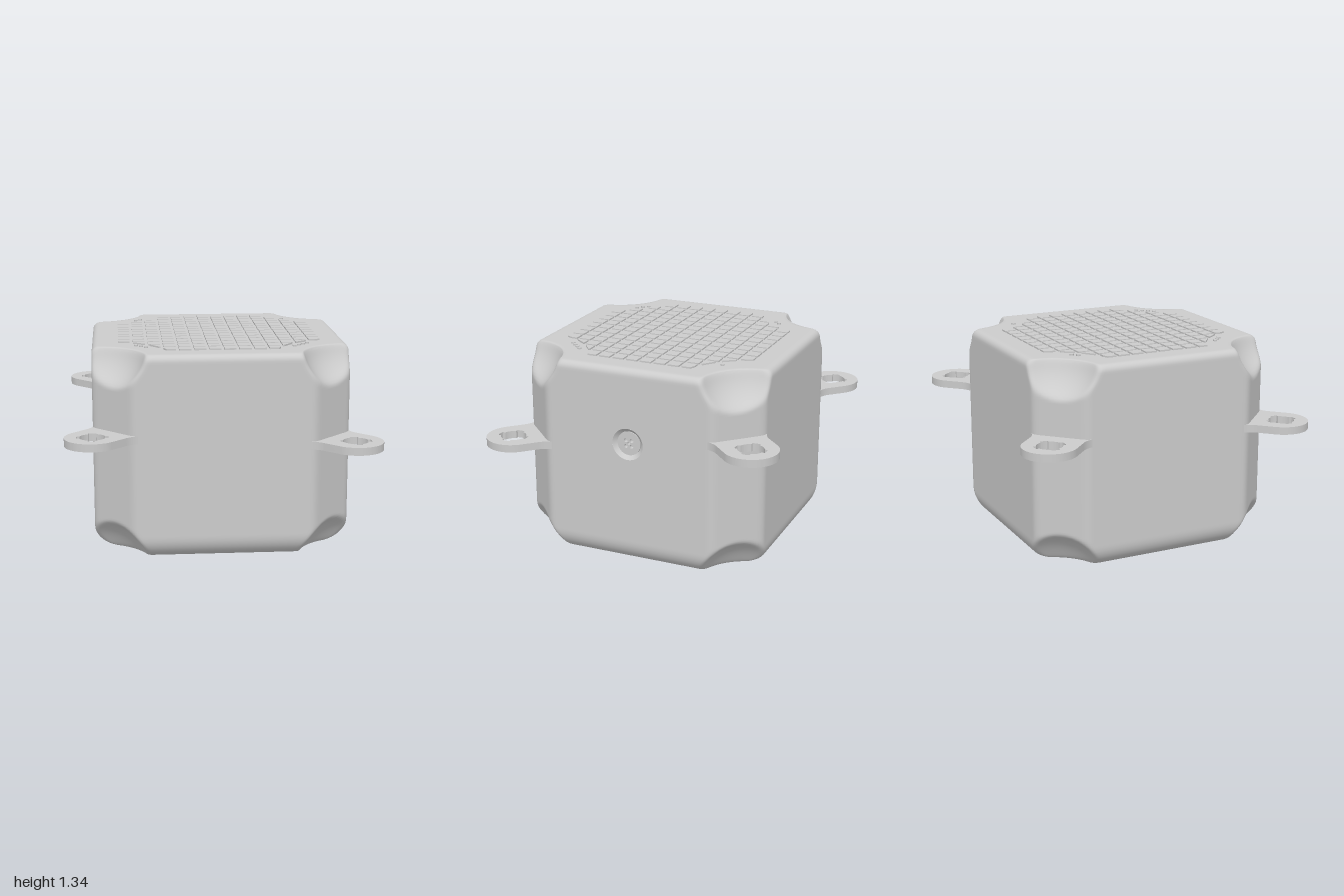
import * as THREE from 'three';
import { toCreasedNormals, mergeGeometries } from 'three/addons/utils/BufferGeometryUtils.js';

const W = 0.825, H = 1.325;          // body half width and height
const CHAMFER = 0.18;                // depth of the vertical corner chamfers
const FACE_LOW = 0.68, FACE_HIGH = 0.98; // band of the side face holding the fastener
const mat = new THREE.MeshStandardMaterial({ color: 0xcccccc });
const matDouble = new THREE.MeshStandardMaterial({ color: 0xcccccc, side: THREE.DoubleSide });

function mesh(name, geometry, material = mat) {
  const m = new THREE.Mesh(geometry, material);
  m.name = name;
  return m;
}

const round = (R, d) => (d >= R ? 0 : R - Math.sqrt(R * R - (R - d) ** 2));
const inset = (y) => Math.max(round(0.15, y), round(0.045, H - y));

// One quarter of the body outline at height y: chamfer or spherical scoop, with softened ends
function cornerCurve(y) {
  const e = inset(y);
  const d = Math.min(y, H - y) + 0.078;
  const scoop = Math.sqrt(Math.max(0, 0.344 ** 2 - d * d)) + e * 0.2;
  const radius = (a) => {
    const flat = CHAMFER / Math.cos(a - Math.PI / 4), k = 0.03;
    const m = Math.max(k - Math.abs(flat - scoop), 0) / k;
    return Math.max(flat, scoop) + m * m * k / 4;
  };
  let a0 = 0;
  for (let i = 0; i < 12; i++) a0 = Math.asin(e / radius(a0));
  const N = 24, p = [];
  for (let i = 0; i <= N; i++) {
    const a = a0 + (Math.PI / 2 - 2 * a0) * i / N, r = radius(a);
    p.push(new THREE.Vector2(W - r * Math.cos(a), W - r * Math.sin(a)));
  }
  const start = p[0].clone().setX(p[0].x - 0.03);
  const soft = new THREE.QuadraticBezierCurve(start, p[0], p[2]).getPoints(4);
  const head = [start.clone().setX(start.x - 0.02), ...soft];
  const tail = head.map((v) => new THREE.Vector2(v.y, v.x)).reverse();
  return [...head, ...p.slice(3, N - 2), ...tail];
}

// Body lofted from horizontal loops, leaving a window on the left face
function bodyGeometry() {
  const rows = [[0, 0.95]];
  for (let i = 0; i <= 10; i++) rows.push([0.15 * (1 - Math.cos(i / 10 * Math.PI / 2)), 1]);
  for (let i = 1; i <= 9; i++) rows.push([0.15 + 0.014 * i, 1]);
  rows.push([FACE_LOW, 1], [FACE_HIGH, 1]);
  for (let i = 0; i <= 15; i++) rows.push([1.05 + 0.23 * i / 15, 1]);
  for (let i = 1; i <= 6; i++) rows.push([1.28 + 0.045 * Math.sin(i / 6 * Math.PI / 2), 1]);
  rows.push([H, 0.97]);

  const pos = [], index = [];
  let n = 0;
  for (const [y, s] of rows) {
    const quarter = cornerCurve(y);
    n = quarter.length;
    for (let q = 0; q < 4; q++) {
      const c = Math.round(Math.cos(q * Math.PI / 2)), t = Math.round(Math.sin(q * Math.PI / 2));
      for (const v of quarter) pos.push((v.x * c + v.y * t) * s, y, (v.y * c - v.x * t) * s);
    }
  }
  const L = 4 * n, last = rows.length - 1;
  for (let i = 0; i < last; i++) for (let j = 0; j < L; j++) {
    if (rows[i][0] === FACE_LOW && j === n - 1) continue;
    const a = i * L + j, b = i * L + (j + 1) % L;
    index.push(a, b, b + L, a, b + L, a + L);
  }
  const bottom = pos.length / 3;
  pos.push(0, 0, 0, 0, H, 0);
  for (let j = 0; j < L; j++) {
    const k = (j + 1) % L;
    index.push(bottom, k, j, bottom + 1, last * L + j, last * L + k);
  }
  const g = new THREE.BufferGeometry();
  g.setAttribute('position', new THREE.Float32BufferAttribute(pos, 3));
  g.setIndex(index);
  return toCreasedNormals(g, 0.6);
}

// Face panel that fills the window around the fastener hole
function sidePanel() {
  const z = cornerCurve(0.8)[0].x, h = (FACE_HIGH - FACE_LOW) / 2;
  const s = new THREE.Shape([[-z, -h], [z, -h], [z, h], [-z, h]].map((p) => new THREE.Vector2(...p)));
  s.holes.push(new THREE.Path().absarc(0, 0, 0.105, 0, Math.PI * 2, true));
  return new THREE.ShapeGeometry(s, 32).rotateY(Math.PI / 2).translate(W, (FACE_LOW + FACE_HIGH) / 2, 0);
}

// Countersunk seat and perforated disc
function fastener() {
  const g = new THREE.Group();
  g.name = 'sideFastener';
  const profile = [[0.105, 0], [0.08, -0.025], [0.08, -0.045], [0, -0.045]].map((p) => new THREE.Vector2(...p));
  const seat = toCreasedNormals(new THREE.LatheGeometry(profile, 48), 0.4).rotateZ(-Math.PI / 2);
  const disc = new THREE.Shape().absarc(0, 0, 0.079, 0, Math.PI * 2);
  for (let i = 0; i < 4; i++) {
    const a = i * Math.PI / 2 + Math.PI / 4;
    disc.holes.push(new THREE.Path().absarc(0.027 * Math.cos(a), 0.027 * Math.sin(a), 0.013, 0, Math.PI * 2, true));
  }
  disc.holes.push(new THREE.Path().absarc(0, 0, 0.009, 0, Math.PI * 2, true));
  const plate = new THREE.ExtrudeGeometry(disc, { depth: 0.025, bevelEnabled: false, curveSegments: 24 });
  plate.rotateY(Math.PI / 2).translate(-0.045, 0, 0);
  g.add(mesh('fastenerSeat', seat, matDouble), mesh('fastenerDisc', toCreasedNormals(plate, 0.5)));
  g.position.set(W, (FACE_LOW + FACE_HIGH) / 2, 0);
  return g;
}

// Mounting lug with a notched hole, pointing along +z
function lugGeometry() {
  const s = new THREE.Shape();
  s.moveTo(-0.2, -0.2);
  s.lineTo(0.2, -0.2);
  s.quadraticCurveTo(0.176, -0.165, 0.175, -0.12);
  s.lineTo(0.175, 0);
  s.absarc(0, 0, 0.175, 0, Math.PI);
  s.lineTo(-0.175, -0.12);
  s.quadraticCurveTo(-0.176, -0.165, -0.2, -0.2);
  const hole = [];
  for (let i = 0; i < 96; i++) {
    const a = -i / 96 * Math.PI * 2;
    const off = Math.acos(Math.min(1, Math.abs(Math.sin(2 * a)))) / 2; // angle from nearest notch
    const r = off < 0.27 ? 0.1 : 0.083;
    hole.push(new THREE.Vector2(r * Math.cos(a), r * Math.sin(a)));
  }
  s.holes.push(new THREE.Path(hole));
  const g = new THREE.ExtrudeGeometry(s, { depth: 0.05, bevelEnabled: false, curveSegments: 32 });
  return toCreasedNormals(g.rotateX(Math.PI / 2).translate(0, 0.025, 0), 0.5);
}

// Keep the part of a polygon on the far side of a line
function clip(points, inside) {
  const out = [];
  points.forEach((p, i) => {
    const q = points[(i + 1) % points.length], a = inside(p), b = inside(q);
    if (a >= 0) out.push(p);
    if (a * b < 0) out.push(p.clone().lerp(q, a / (a - b)));
  });
  return out;
}

// Raised tiles on the top, trimmed by an arc at each corner
function tileGeometry() {
  const parts = [], pitch = 0.095, h = 0.0375, R = 0.5;
  for (let i = 0; i < 14; i++) for (let j = 0; j < 14; j++) {
    const c = new THREE.Vector2((i - 6.5) * pitch, (j - 6.5) * pitch);
    const corner = new THREE.Vector2(W * Math.sign(c.x), W * Math.sign(c.y));
    const n = c.clone().sub(corner).normalize();
    const square = [[-h, -h], [h, -h], [h, h], [-h, h]].map(([x, y]) => new THREE.Vector2(c.x + x, c.y + y));
    const poly = clip(square, (p) => p.clone().sub(corner).dot(n) - R);
    if (poly.length < 3) continue;
    parts.push(new THREE.ExtrudeGeometry(new THREE.Shape(poly), { depth: 0.011, bevelEnabled: false }));
  }
  return mergeGeometries(parts).rotateX(-Math.PI / 2).translate(0, H - 0.001, 0);
}

export function createModel() {
  const model = new THREE.Group();
  model.name = 'housing';
  model.add(mesh('body', bodyGeometry()), mesh('sidePanel', sidePanel()), fastener(), mesh('topTiles', tileGeometry()));

  // Each corner: a lug at its own height and a matching count of marker dots
  const lug = lugGeometry();
  const dot = new THREE.CylinderGeometry(0.013, 0.013, 0.011, 16);
  const corners = [
    ['rightRear', -1, -1, 0.845, 2], ['leftRear', 1, -1, 0.905, 1],
    ['rightFront', -1, 1, 0.795, 3], ['leftFront', 1, 1, 0.74, 4],
  ];
  for (const [name, sx, sz, y, count] of corners) {
    const m = mesh(name + 'Lug', lug);
    m.position.set(W * sx, y, W * sz);
    m.rotation.y = Math.atan2(sx, sz);
    model.add(m);
    for (let i = 0; i < count; i++) {
      const o = (i - (count - 1) / 2) * 0.044 * Math.SQRT1_2;
      const d = mesh(name + 'Dot', dot);
      d.position.set(sx * (0.51 + o), H + 0.0045, sz * (0.51 - o));
      model.add(d);
    }
  }
  return model;
}
